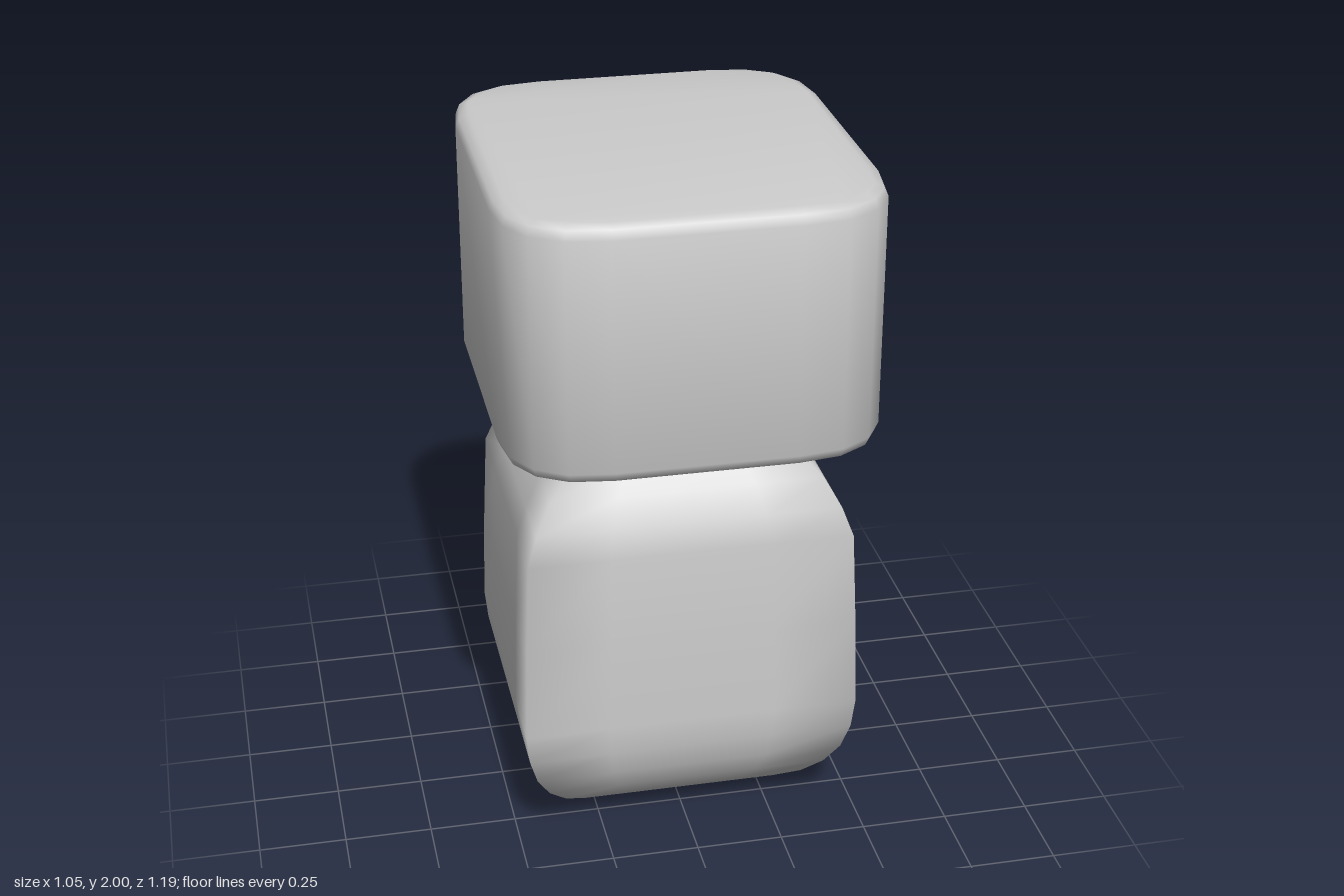
import * as THREE from 'three';
import { mergeVertices, toCreasedNormals } from 'three/addons/utils/BufferGeometryUtils.js';

const material = new THREE.MeshStandardMaterial({ color: 0xcccccc });

// Half-width of the body at each height, bottom to top: [height, halfWidth]
const bodyProfile = [
  [0.005, 0.13], [0.015, 0.2], [0.05, 0.285], [0.1, 0.355], [0.16, 0.41], [0.23, 0.45], [0.31, 0.473],
  [0.4, 0.482], [0.67, 0.474], [0.94, 0.462], [1.02, 0.433], [1.1, 0.387], [1.17, 0.32],
  [1.22, 0.25], [1.248, 0.18], [1.257, 0.1],
];
const depthRatio = 0.88;

// Square-sectioned body: a box whose rows follow the profile, smooth all over
function bodyGeometry() {
  const rows = bodyProfile.length - 1;
  const box = new THREE.BoxGeometry(2, rows, 2, 4, rows, 4);
  box.deleteAttribute('uv');
  box.deleteAttribute('normal');
  const geometry = mergeVertices(box);
  const pos = geometry.attributes.position;
  for (let i = 0; i < pos.count; i++) {
    const [y, w] = bodyProfile[Math.round(pos.getY(i) + rows / 2)];
    pos.setXYZ(i, pos.getX(i) * w, y, pos.getZ(i) * w * depthRatio);
  }
  geometry.computeVertexNormals();
  return geometry;
}

// Block head: rounded rectangle extruded upwards with a small bevel
function headGeometry() {
  const w = 0.525, d = 0.595, r = 0.275, bevel = 0.036, bottom = 1.273, top = 2;
  const shape = new THREE.Shape();
  shape.moveTo(-w + r, -d);
  shape.lineTo(w - r, -d);
  shape.quadraticCurveTo(w, -d, w, -d + r);
  shape.lineTo(w, d - r);
  shape.quadraticCurveTo(w, d, w - r, d);
  shape.lineTo(-w + r, d);
  shape.quadraticCurveTo(-w, d, -w, d - r);
  shape.lineTo(-w, -d + r);
  shape.quadraticCurveTo(-w, -d, -w + r, -d);
  const geometry = new THREE.ExtrudeGeometry(shape, {
    depth: top - bottom - 2 * bevel, curveSegments: 4,
    bevelThickness: bevel, bevelSize: bevel, bevelOffset: -bevel, bevelSegments: 2,
  });
  geometry.rotateX(-Math.PI / 2);
  geometry.translate(0, bottom + bevel, 0);
  return toCreasedNormals(geometry, 0.9);
}

export function createModel() {
  const model = new THREE.Group();
  const parts = { body: bodyGeometry(), head: headGeometry() };
  for (const [name, geometry] of Object.entries(parts)) {
    const mesh = new THREE.Mesh(geometry, material);
    mesh.name = name;
    model.add(mesh);
  }
  return model;
}
